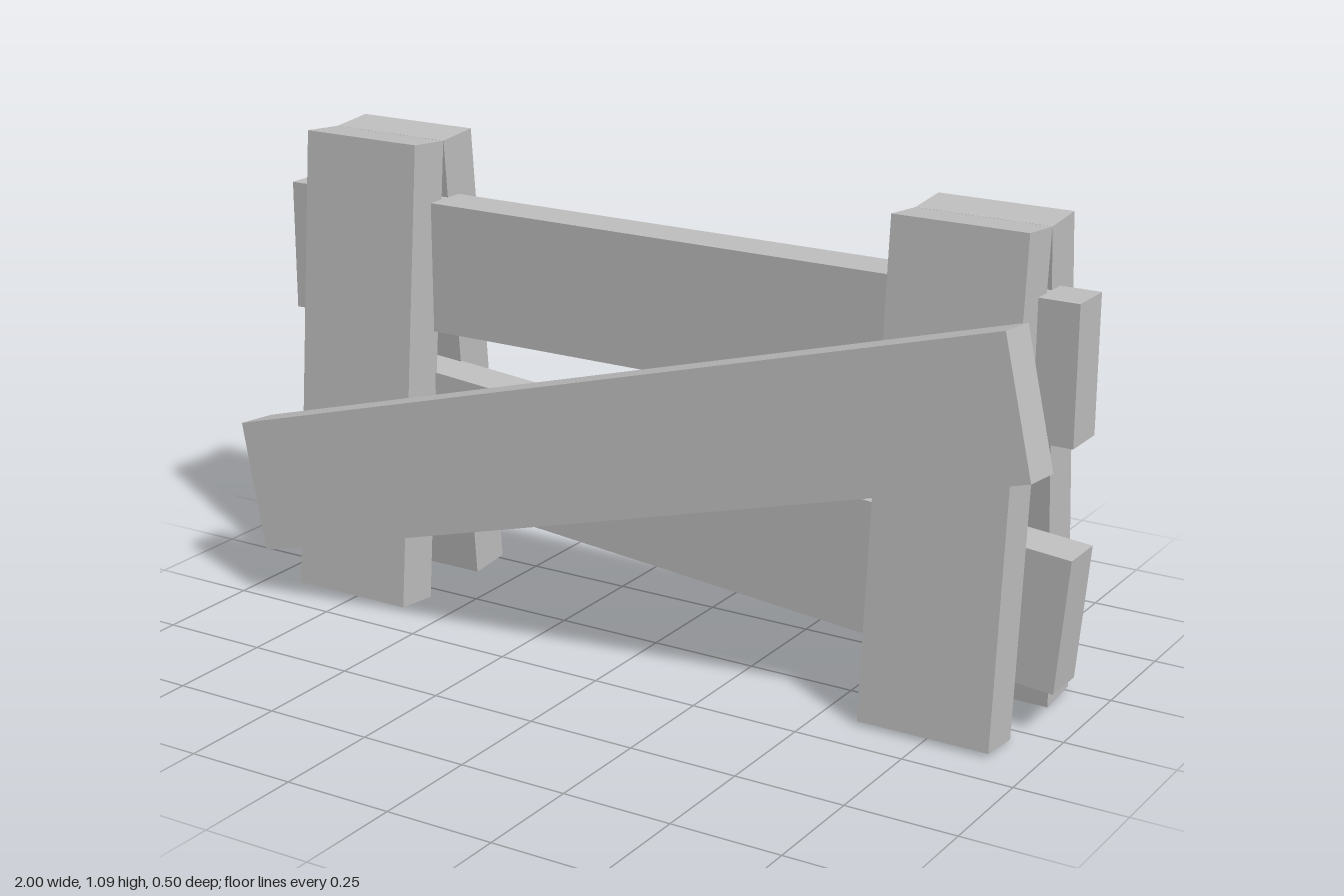
import * as THREE from 'three';

const LEAN = THREE.MathUtils.degToRad(5);
const THICK = 0.107;
const MID_Z = -0.049; // plane shared by the rails, between the posts

export function createModel() {
  const model = new THREE.Group();
  model.name = 'fence';
  const wood = new THREE.MeshStandardMaterial({ color: 0xc0c0c0 });
  wood.name = 'plainGrey';

  // One board: size, centre, lean about x, then tilt within its own plane
  function board(name, length, height, x, y, z, lean = 0, tilt = 0) {
    const mesh = new THREE.Mesh(new THREE.BoxGeometry(length, height, THICK), wood);
    mesh.name = name;
    mesh.position.set(x, y, z);
    mesh.rotation.set(lean, 0, tilt);
    model.add(mesh);
  }

  // Leaning posts, a pair at each end, meeting at the top
  for (const [side, x] of [['right', -0.752], ['left', 0.747]]) {
    for (const [face, s] of [['Front', 1], ['Back', -1]]) {
      board(side + face + 'Post', 0.305, 1.085, x, 0.546, MID_Z + s * 0.101, -s * LEAN);
    }
  }

  // Rails held between the posts
  board('topRail', 1.99, 0.303, -0.005, 0.796, MID_Z);
  board('lowerRail', 1.98, 0.303, 0, 0.341, MID_Z, 0, -LEAN);

  // Slanted plank resting against the front posts
  board('frontPlank', 1.98, 0.305, -0.005, 0.518, 0.163, -LEAN, THREE.MathUtils.degToRad(15));

  return model;
}
